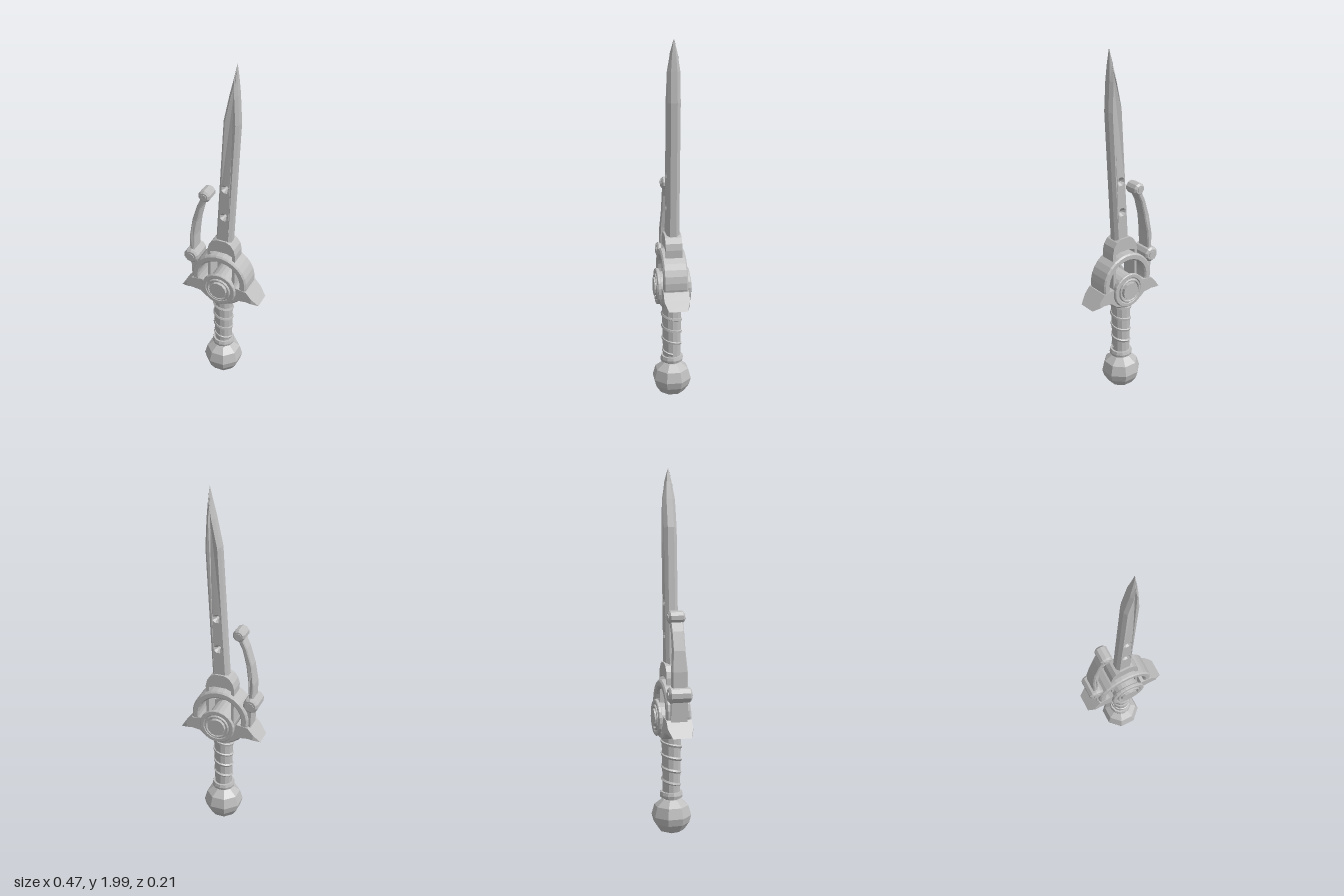
import * as THREE from 'three';

export function createModel() {
  const model = new THREE.Group();
  model.name = 'sword';
  const steel = new THREE.MeshStandardMaterial({ color: 0xbebebe, flatShading: true });
  steel.name = 'light grey steel';

  const add = (name, geometry, x = 0, y = 0, z = 0) => {
    const mesh = new THREE.Mesh(geometry, steel);
    mesh.name = name;
    mesh.position.set(x, y, z);
    model.add(mesh);
  };
  const vec = (pts) => pts.map(([x, y]) => new THREE.Vector2(x, y));
  // Plate centred on z = 0, with its outline kept and its faces inset by the bevel
  const plate = (shape, half, bevel = 0, bevelDepth = bevel) => {
    const depth = 2 * (half - bevelDepth);
    const g = new THREE.ExtrudeGeometry(shape, {
      depth, bevelEnabled: bevel > 0, bevelSize: bevel, bevelOffset: -bevel,
      bevelThickness: bevelDepth, bevelSegments: 1,
    });
    return g.translate(0, 0, -depth / 2);
  };
  // Thin a plate by a factor that depends on position
  const thin = (g, factor) => {
    const p = g.attributes.position;
    for (let i = 0; i < p.count; i++) p.setZ(i, p.getZ(i) * factor(p.getX(i), p.getY(i)));
    g.computeVertexNormals();
    return g;
  };
  const circlePoints = (x, y, r, n) => Array.from({ length: n }, (_, i) => {
    const a = ((i + 0.5) / n) * Math.PI * 2;
    return [x + r * Math.cos(a), y + r * Math.sin(a)];
  });
  const ring = (outer, inner, n) => {
    const s = new THREE.Shape(vec(circlePoints(0, 0, outer, n)));
    s.holes.push(new THREE.Path(vec(circlePoints(0, 0, inner, n))));
    return s;
  };
  const disc = (r, half, n) => new THREE.CylinderGeometry(r, r, half * 2, n).rotateX(Math.PI / 2);

  // Faceted pommel and collar
  add('pommel', new THREE.LatheGeometry(vec([
    [0, 0.005], [0.07, 0.032], [0.1, 0.075], [0.111, 0.115], [0.095, 0.172], [0.05, 0.207], [0, 0.21],
  ]), 8, Math.PI / 8));
  add('gripCollar', new THREE.LatheGeometry(vec([
    [0, 0.19], [0.04, 0.19], [0.045, 0.215], [0.062, 0.218], [0.065, 0.232], [0.06, 0.25], [0, 0.252],
  ]), 12));

  // Grip with a spiral wrap
  add('grip', new THREE.CylinderGeometry(0.056, 0.049, 0.36, 12), 0, 0.42, 0);
  const turns = 4;
  const helix = Array.from({ length: turns * 10 + 1 }, (_, i) => {
    const t = i / (turns * 10), a = t * turns * Math.PI * 2, r = 0.046 + 0.006 * t;
    return new THREE.Vector3(r * Math.cos(a), 0.265 + 0.285 * t, r * Math.sin(a));
  });
  add('gripWrap', new THREE.TubeGeometry(new THREE.CatmullRomCurve3(helix), 96, 0.01, 5));

  // Guard ring
  add('guardRing', plate(ring(0.163, 0.123, 28), 0.066, 0.008), 0, 0.71, 0);

  // Guard wings, thinner towards the tips
  for (const side of [1, -1]) {
    const outline = [
      [0.235, 0.596], [0.197, 0.642], [0.165, 0.68], [0.1, 0.69], [0.06, 0.6], [0.115, 0.608], [0.165, 0.614], [0.195, 0.61],
    ].map(([x, y]) => [x * side, y]);
    add(side > 0 ? 'leftWing' : 'rightWing',
      thin(plate(new THREE.Shape(vec(outline)), 0.069), (x) => (Math.abs(x) > 0.2 ? 0.72 : 1)));
  }

  // Hub through the guard, with a rim and a raised disc on both faces
  const hx = 0.008, hy = 0.665;
  add('hub', disc(0.08, 0.084, 20), hx, hy);
  for (const s of [1, -1]) {
    add('hubRim', plate(ring(0.1, 0.074, 20), 0.01, 0.004), hx, hy, s * 0.081);
    add('hubInnerRing', plate(ring(0.07, 0.058, 20), 0.008, 0.003), hx, hy, s * 0.088);
    add('hubDisc', disc(0.05, 0.01, 12), hx, hy, s * 0.092);
  }

  // Blade socket: a rounded head on two legs
  const socket = new THREE.Shape(vec([
    [-0.075, 0.68], [-0.06, 0.68], [-0.06, 0.88], [-0.03, 0.892], [0.04, 0.892], [0.07, 0.88], [0.07, 0.68], [0.085, 0.68],
    [0.088, 0.89], [0.08, 0.925], [0.06, 0.953], [0.035, 0.967], [-0.02, 0.967], [-0.048, 0.953], [-0.068, 0.925], [-0.077, 0.89],
  ]));
  add('bladeSocket', plate(socket, 0.045));

  // Blade with bevelled edges and two countersunk holes, thinning to a rounded point
  const bladeShape = new THREE.Shape(vec([
    [-0.036, 0.935], [0.054, 0.935], [0.093, 1.68], [0.085, 1.84], [0.079, 1.93],
    [0.073, 1.998], [0.06, 1.93], [0.04, 1.84], [0.008, 1.69],
  ]));
  for (const [x, y] of [[0.026, 1.297], [0.018, 1.12]]) {
    bladeShape.holes.push(new THREE.Path(vec(circlePoints(x, y, 0.01, 8))));
  }
  add('blade', thin(plate(bladeShape, 0.035, 0.014, 0.018),
    (x, y) => (y < 1.8 ? 1 : Math.max(0.12, 1 - ((y - 1.8) / 0.2) ** 2))));

  // Curved side arm with round ends
  const arm = new THREE.Shape(vec([
    [-0.186, 0.84], [-0.187, 0.94], [-0.172, 1.05], [-0.142, 1.15], [-0.112, 1.215],
    [-0.088, 1.2], [-0.118, 1.14], [-0.14, 1.05], [-0.156, 0.95], [-0.16, 0.84],
  ]));
  add('sideArm', thin(plate(arm, 0.043, 0.006), (x, y) => (y > 1.03 ? 0.8 : 1)));
  const knob = (name, x, y, r, half) => {
    add(name, plate(new THREE.Shape(vec(circlePoints(0, 0, r, 10))), half, 0.01), x, y);
    add(name + 'Pin', disc(r * 0.5, half + 0.004, 8), x, y);
  };
  knob('armTip', -0.098, 1.22, 0.035, 0.044);
  knob('armPivot', -0.174, 0.818, 0.043, 0.062);
  add('armStrut', plate(new THREE.Shape(vec([
    [-0.178, 0.82], [-0.172, 0.66], [-0.138, 0.66], [-0.142, 0.82],
  ])), 0.045));

  return model;
}
